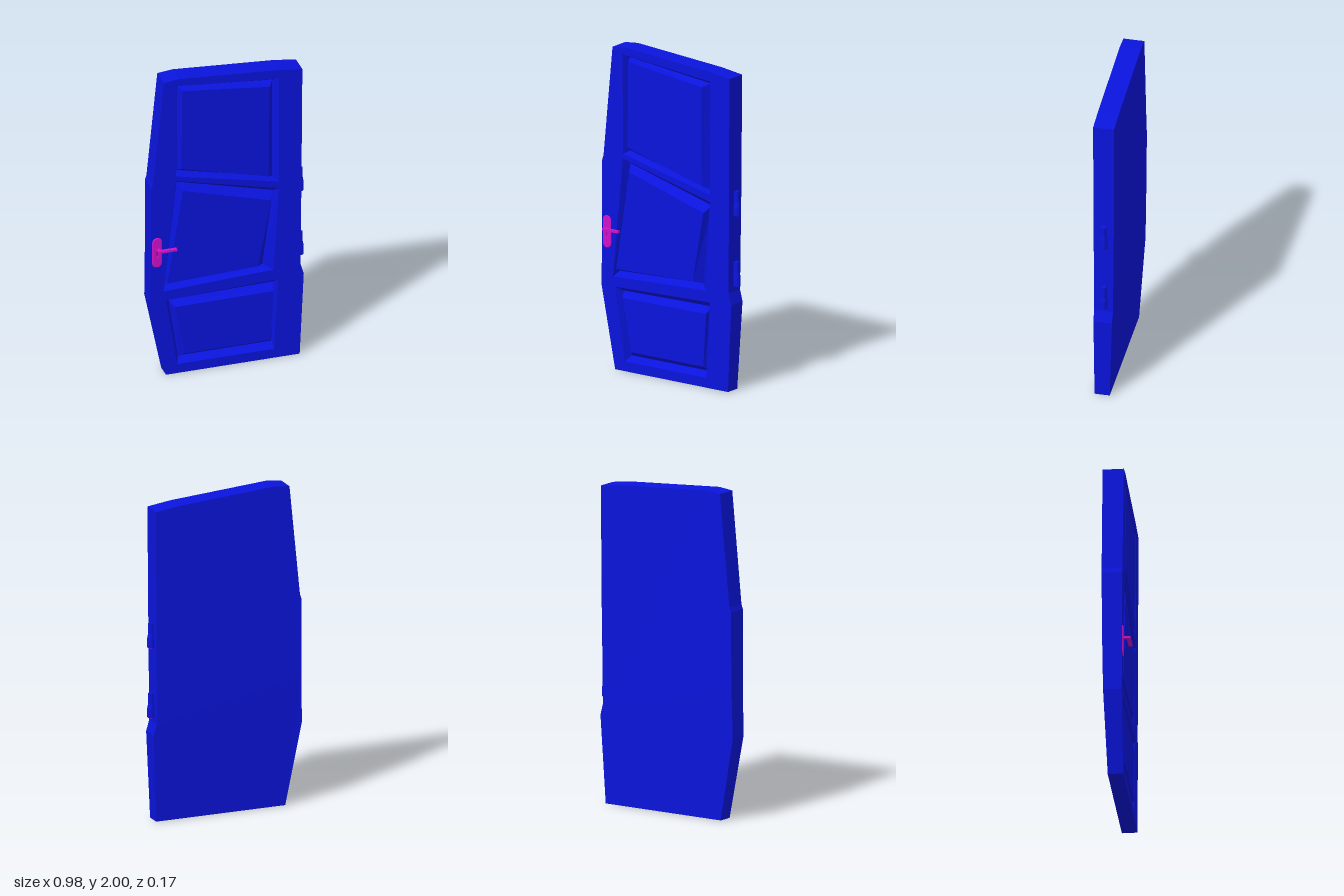
import * as THREE from 'three';

const blue = new THREE.MeshStandardMaterial({ color: 0x0a14dc, flatShading: true });
const magenta = new THREE.MeshStandardMaterial({ color: 0xd010c8, flatShading: true });

// Slab surfaces: the door thins towards its foot
const frontZ = (y) => 0.036 + 0.003 * y;
const backZ = (y) => (y < 0.6 ? -0.056 - 0.035 * y : -0.077 - 0.01 * Math.min(y - 0.6, 0.8));
const GROOVE = 0.05;

// Door outline, counter-clockwise from the foot
const OUTLINE = [
  [-0.39, 0], [0.445, 0], [0.47, 0.54], [0.45, 0.61], [0.455, 1.2], [0.46, 1.935], [0.31, 1.955],
  [-0.31, 2], [-0.405, 1.99], [-0.473, 1.31], [-0.483, 1.28], [-0.485, 0.8], [-0.49, 0.51],
];

// Panels: frame edge, groove bottom and raised field, each TL, TR, BR, BL
const PANELS = {
  topPanel: [
    [[-0.33, 1.955], [0.315, 1.895], [0.315, 1.195], [-0.33, 1.34]],
    [[-0.31, 1.93], [0.288, 1.868], [0.288, 1.212], [-0.31, 1.355]],
    [[-0.29, 1.915], [0.255, 1.85], [0.25, 1.24], [-0.295, 1.385]],
  ],
  middlePanel: [
    [[-0.33, 1.31], [0.315, 1.15], [0.28, 0.6], [-0.405, 0.57]],
    [[-0.31, 1.275], [0.293, 1.115], [0.228, 0.625], [-0.39, 0.598]],
    [[-0.285, 1.235], [0.265, 1.075], [0.185, 0.64], [-0.382, 0.62]],
  ],
  bottomPanel: [
    [[-0.39, 0.51], [0.31, 0.53], [0.285, 0.06], [-0.32, 0.06]],
    [[-0.36, 0.48], [0.293, 0.492], [0.283, 0.09], [-0.3, 0.09]],
    [[-0.335, 0.45], [0.283, 0.455], [0.263, 0.125], [-0.27, 0.125]],
  ],
};

const vecs = (pts) => pts.map(([x, y]) => new THREE.Vector2(x, y));

function add(parent, name, geometry, material) {
  const mesh = new THREE.Mesh(geometry, material);
  mesh.name = name;
  parent.add(mesh);
  return mesh;
}

// Flat outline laid on a z(y) surface
function sheet(pts, z, holes = [], flip = false) {
  const shape = new THREE.Shape(vecs(pts));
  holes.forEach((h) => shape.holes.push(new THREE.Path(vecs(h))));
  const geo = new THREE.ShapeGeometry(shape);
  const p = geo.attributes.position;
  for (let i = 0; i < p.count; i++) p.setZ(i, z(p.getY(i)));
  if (flip) geo.index.array.reverse();
  geo.computeVertexNormals();
  return geo;
}

// Closed band of quads from loop a to loop b (counter-clockwise, a nearer the viewer or outside)
function band(a, za, b, zb) {
  const pos = [];
  for (let i = 0; i < a.length; i++) {
    const j = (i + 1) % a.length;
    const A = [...a[i], za(a[i][1])], B = [...a[j], za(a[j][1])];
    const C = [...b[j], zb(b[j][1])], D = [...b[i], zb(b[i][1])];
    pos.push(...A, ...D, ...C, ...A, ...C, ...B);
  }
  const geo = new THREE.BufferGeometry();
  geo.setAttribute('position', new THREE.Float32BufferAttribute(pos, 3));
  geo.computeVertexNormals();
  return geo;
}

// As band, facing the viewer
function facingBand(a, za, b, zb) {
  return band(b, zb, a, za);
}

function makePanel(name, loops) {
  const panel = new THREE.Group();
  panel.name = name;
  const [frame, groove, field] = loops.map((l) => [...l].reverse());
  const grooveZ = (y) => frontZ(y) - GROOVE;
  add(panel, 'grooveOuterSlope', facingBand(frame, frontZ, groove, grooveZ), blue);
  add(panel, 'grooveInnerSlope', facingBand(groove, grooveZ, field, frontZ), blue);
  add(panel, 'raisedField', sheet(field, frontZ), blue);
  return panel;
}

function makeHinge(y) {
  const hinge = new THREE.Group();
  hinge.name = 'hinge';
  const profile = [[0, 0], [0.022, 0], [0.022, 0.055], [0.016, 0.085], [0.016, 0.15], [0, 0.15]];
  add(hinge, 'hingeBarrel', new THREE.LatheGeometry(vecs(profile), 10), blue);
  const leaf = add(hinge, 'hingeLeaf', new THREE.BoxGeometry(0.03, 0.15, 0.03), blue);
  leaf.position.set(-0.012, 0.075, 0);
  const pin = add(hinge, 'hingePin', new THREE.CylinderGeometry(0.013, 0.013, 0.006, 10), magenta);
  pin.position.y = -0.001;
  hinge.position.set(0.467, y, -0.025);
  return hinge;
}

function makeHandle() {
  const handle = new THREE.Group();
  handle.name = 'handle';
  // Rounded back plate with a keyhole slot
  const plate = new THREE.Shape();
  plate.absarc(0, 0.07, 0.025, 0, Math.PI);
  plate.absarc(0, -0.07, 0.025, Math.PI, 2 * Math.PI);
  plate.holes.push(new THREE.Path(vecs([[-0.007, -0.03], [-0.007, 0.01], [0.007, 0.01], [0.007, -0.03]])));
  const plateGeo = new THREE.ExtrudeGeometry(plate, {
    depth: 0.004, bevelThickness: 0.003, bevelSize: 0.005, bevelSegments: 1, curveSegments: 6,
  });
  add(handle, 'handlePlate', plateGeo, magenta).position.set(-0.447, 0.842, 0.038);
  // L-shaped lever
  const lever = new THREE.Shape(vecs([
    [-0.452, -0.038], [-0.432, -0.038], [-0.432, -0.063], [-0.335, -0.063], [-0.335, -0.085], [-0.452, -0.085],
  ]));
  const leverGeo = new THREE.ExtrudeGeometry(lever, { depth: 0.014, bevelEnabled: false });
  leverGeo.rotateX(-Math.PI / 2);
  add(handle, 'lever', leverGeo, magenta).position.y = 0.857;
  return handle;
}

export function createModel() {
  const door = new THREE.Group();
  door.name = 'door';

  // Slab
  add(door, 'frontFrame', sheet(OUTLINE, frontZ, Object.values(PANELS).map((p) => p[0])), blue);
  add(door, 'back', sheet(OUTLINE, backZ, [], true), blue);
  add(door, 'edge', band(OUTLINE, frontZ, OUTLINE, backZ), blue);

  for (const [name, loops] of Object.entries(PANELS)) door.add(makePanel(name, loops));
  for (const y of [0.645, 1.08]) door.add(makeHinge(y));
  door.add(makeHandle());
  return door;
}
